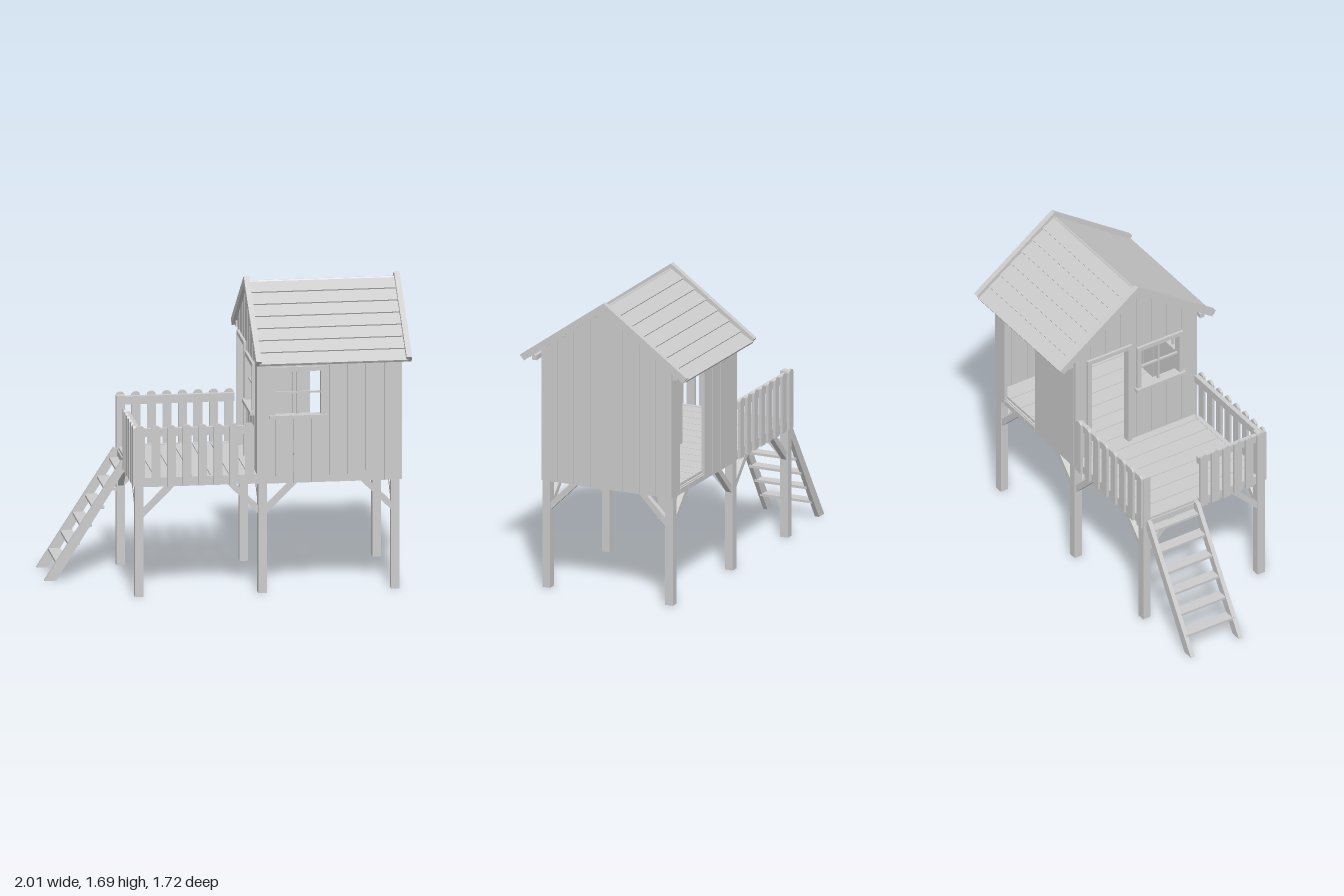
import * as THREE from 'three';

const wood = new THREE.MeshStandardMaterial({ color: 0xcccccc, flatShading: true });
const BASE = 0.615, FLOOR = 0.665, CX = 0.1, CZ = -0.37; // underside, floor top, house centre
const SLOPE = 0.72, PITCH = Math.atan(SLOPE);

function add(parent, name, geometry, x = 0, y = 0, z = 0) {
  const m = new THREE.Mesh(geometry, wood);
  m.name = name;
  m.position.set(x, y, z);
  parent.add(m);
  return m;
}
const box = (parent, name, w, h, d, x, y, z) => add(parent, name, new THREE.BoxGeometry(w, h, d), x, y, z);

function group(parent, name, x = 0, y = 0, z = 0, ry = 0) {
  const g = new THREE.Group();
  g.name = name;
  g.position.set(x, y, z);
  g.rotation.y = ry;
  parent.add(g);
  return g;
}

function panel(parent, name, points, depth, z = 0) {
  const shape = new THREE.Shape(points.map(p => new THREE.Vector2(p[0], p[1])));
  return add(parent, name, new THREE.ExtrudeGeometry(shape, { depth, bevelEnabled: false }), 0, 0, z);
}

// Vertical boards, 0.1 wide, cut around one opening; outer face at z = 0.02
function boardWall(parent, name, half, top, open) {
  const cuts = [-half, half];
  for (let i = -3; i <= 3; i++) cuts.push(i / 10);
  if (open) cuts.push(open.x0, open.x1);
  const xs = [...new Set(cuts)].sort((a, b) => a - b);
  const isSeam = x => Math.abs(x * 10 - Math.round(x * 10)) < 1e-6;
  for (let i = 0; i < xs.length - 1; i++) {
    const a = xs[i] + (isSeam(xs[i]) ? 0.0015 : 0);
    const b = xs[i + 1] - (isSeam(xs[i + 1]) ? 0.0015 : 0);
    const piece = (y0, ya, yb) => panel(parent, name + 'Board', [[a, y0], [b, y0], [b, yb], [a, ya]], 0.02);
    const mid = (a + b) / 2;
    if (open && mid > open.x0 && mid < open.x1) {
      if (open.y0 > BASE) piece(BASE, open.y0, open.y0);
      piece(open.y1, top(a), top(b));
    } else piece(BASE, top(a), top(b));
  }
}

// Trim around an opening; windows also get a sill and crossbars
function frame(parent, name, o, isWindow) {
  const t = 0.025, cx = (o.x0 + o.x1) / 2, cy = (o.y0 + o.y1) / 2, w = o.x1 - o.x0, h = o.y1 - o.y0;
  for (const x of [o.x0 - t / 2, o.x1 + t / 2]) box(parent, name + 'Side', t, h, 0.045, x, cy, 0.012);
  box(parent, name + 'Head', w + 2 * t, t, 0.045, cx, o.y1 + t / 2, 0.012);
  if (!isWindow) return;
  box(parent, name + 'Sill', w + 2 * t + 0.02, 0.02, 0.06, cx, o.y0 - 0.01, 0.018);
  box(parent, name + 'Crossbar', 0.01, h, 0.012, cx, cy, 0.01);
  box(parent, name + 'Crossbar', w, 0.01, 0.012, cx, cy, 0.01);
}

function buildFrame(g) {
  const P = 0.047, us = [-0.275, 0.475], ws = [0.68, 0, -0.733];
  // Square beam between two points in a plane parallel to an axis
  const brace = (x, z, dx, dz) => {
    const m = box(g, 'brace', 0.032, 0.25, 0.032, x + dx * 0.09, 0.535, z + dz * 0.09);
    m.rotation.set(dz * Math.PI / 4, 0, -dx * Math.PI / 4);
  };
  ws.forEach((w, i) => {
    us.forEach((u, j) => {
      const h = i === 0 ? 0.95 : BASE + 0.03;
      box(g, 'post', P, h, P, u, h / 2, w);
      brace(u, w, j ? -1 : 1, 0);
      if (i > 0) brace(u, w, 0, 1);
      if (i < 2) brace(u, w, 0, -1);
    });
    box(g, 'crossBeam', 0.75, 0.035, 0.04, CX, 0.633, w);
  });
  for (const u of us) box(g, 'sideBeam', 0.035, 0.035, 1.42, u, 0.633, -0.025);
  // Floor planks through house and deck
  const n = 14, step = 1.44 / n;
  for (let i = 0; i < n; i++)
    box(g, 'floorPlank', 0.765, 0.016, step - 0.004, CX, FLOOR - 0.008, -0.745 + (i + 0.5) * step);
}

function buildHouse(g) {
  const gableTop = x => 1.645 - SLOPE * Math.abs(x), eave = () => 1.35;
  const door = { x0: -0.3, x1: -0.06, y0: BASE, y1: 1.285 };
  const frontWindow = { x0: 0.025, x1: 0.275, y0: 1.0, y1: 1.245 };

  // Front gable holds both a doorway and a window, so it is built as two halves
  const front = group(g, 'frontWall', CX, 0, 0.01);
  const half = group(front, 'frontBoards');
  boardWall(half, 'front', 0.4, gableTop, door);
  const rightBoards = group(front, 'frontWindowBoards');
  boardWall(rightBoards, 'front', 0.4, gableTop, frontWindow);
  const centre = m => { m.geometry.computeBoundingBox(); return m.geometry.boundingBox.getCenter(new THREE.Vector3()).x; };
  half.children.filter(m => centre(m) > 0).forEach(m => half.remove(m));
  rightBoards.children.filter(m => centre(m) < 0).forEach(m => rightBoards.remove(m));
  frame(front, 'doorFrame', door, false);
  frame(front, 'frontWindow', frontWindow, true);

  boardWall(group(g, 'backWall', CX, 0, -0.75, Math.PI), 'back', 0.4, gableTop);

  const sideWindow = { x0: -0.3, x1: -0.05, y0: 1.0, y1: 1.245 };
  const side = group(g, 'windowWall', 0.48, 0, CZ, Math.PI / 2);
  boardWall(side, 'side', 0.38, eave, sideWindow);
  frame(side, 'sideWindow', sideWindow, true);

  // Wide open exit on the other side
  boardWall(group(g, 'openWall', -0.28, 0, CZ, -Math.PI / 2), 'openSide', 0.38, eave,
    { x0: -0.3, x1: 0, y0: 0.645, y1: 1.3 });
}

function buildRoof(g) {
  const roof = group(g, 'roof', CX, 0, -0.38);
  const n = 7, len = 0.61, step = len / n;
  for (const turn of [0, Math.PI]) {
    const slope = group(roof, 'roofSlope', 0, 1.663, 0, turn);
    const tilt = group(slope, 'roofPlanks');
    tilt.rotation.z = -PITCH;
    // Overlapping planks, each lower edge lifted over the next
    for (let i = 0; i < n; i++)
      box(tilt, 'roofPlank', step + 0.006, 0.014, 0.82, (i + 0.5) * step, -0.004, 0).rotation.z = 0.09;
    box(roof, 'eavePurlin', 0.028, 0.028, 0.83, (turn ? -1 : 1) * 0.43, 1.318, 0);
  }
  // Gable trim boards
  const chevron = [[0, 1.69], [-0.51, 1.328], [-0.485, 1.298], [0, 1.64], [0.485, 1.298], [0.51, 1.328]];
  for (const z of [0.4, -0.43]) panel(roof, 'gableTrim', chevron, 0.03, z);
}

// Fence along local x with round-topped pickets on the outer side
function fence(parent, name, length, count, x, z, ry) {
  const f = group(parent, name, x, 0, z, ry);
  box(f, 'topRail', length, 0.045, 0.025, 0, 0.92, -0.0125);
  box(f, 'bottomRail', length, 0.045, 0.025, 0, 0.645, -0.0125);
  const r = 0.024, shape = new THREE.Shape();
  shape.moveTo(-r, 0.62);
  shape.lineTo(r, 0.62);
  shape.lineTo(r, 0.942);
  shape.absellipse(0, 0.942, r, 0.02, 0, Math.PI, false);
  const picket = new THREE.ExtrudeGeometry(shape, { depth: 0.015, bevelEnabled: false, curveSegments: 6 });
  for (let i = 0; i < count; i++)
    add(f, 'picket', picket, -length / 2 + r + i * (length - 2 * r) / (count - 1));
}

function buildLadder(g) {
  const ladder = group(g, 'ladder');
  const u0 = -0.265, u1 = 0.05, top = 0.66, z0 = 0.7, run = 0.445;
  // Side rails are parallelograms cut flat at the ground
  for (const u of [u0, u1]) {
    const rail = panel(group(ladder, 'ladderSide', u + 0.0125, 0, 0, -Math.PI / 2), 'ladderRail',
      [[z0 + run - 0.065, 0], [z0 + run, 0], [z0 + 0.02, top], [z0 - 0.03, top]], 0.025);
    rail.position.z = 0;
  }
  for (let i = 1; i <= 6; i++)
    box(ladder, 'ladderTread', u1 - u0, 0.014, 0.066, (u0 + u1) / 2, i * 0.1, z0 + run - 0.03 - i * 0.1 * run / top);
}

export function createModel() {
  const model = new THREE.Group();
  model.name = 'stiltPlayhouse';
  // The whole house stands diagonally
  const g = group(model, 'playhouse', 0, 0, 0, -Math.PI / 4);
  buildFrame(g);
  buildHouse(g);
  buildRoof(g);
  fence(g, 'sideFence', 0.65, 8, 0.495, 0.375, Math.PI / 2);
  fence(g, 'sideFence', 0.65, 8, -0.295, 0.375, -Math.PI / 2);
  fence(g, 'frontFence', 0.42, 6, 0.28, 0.7, 0);
  buildLadder(g);
  return model;
}
